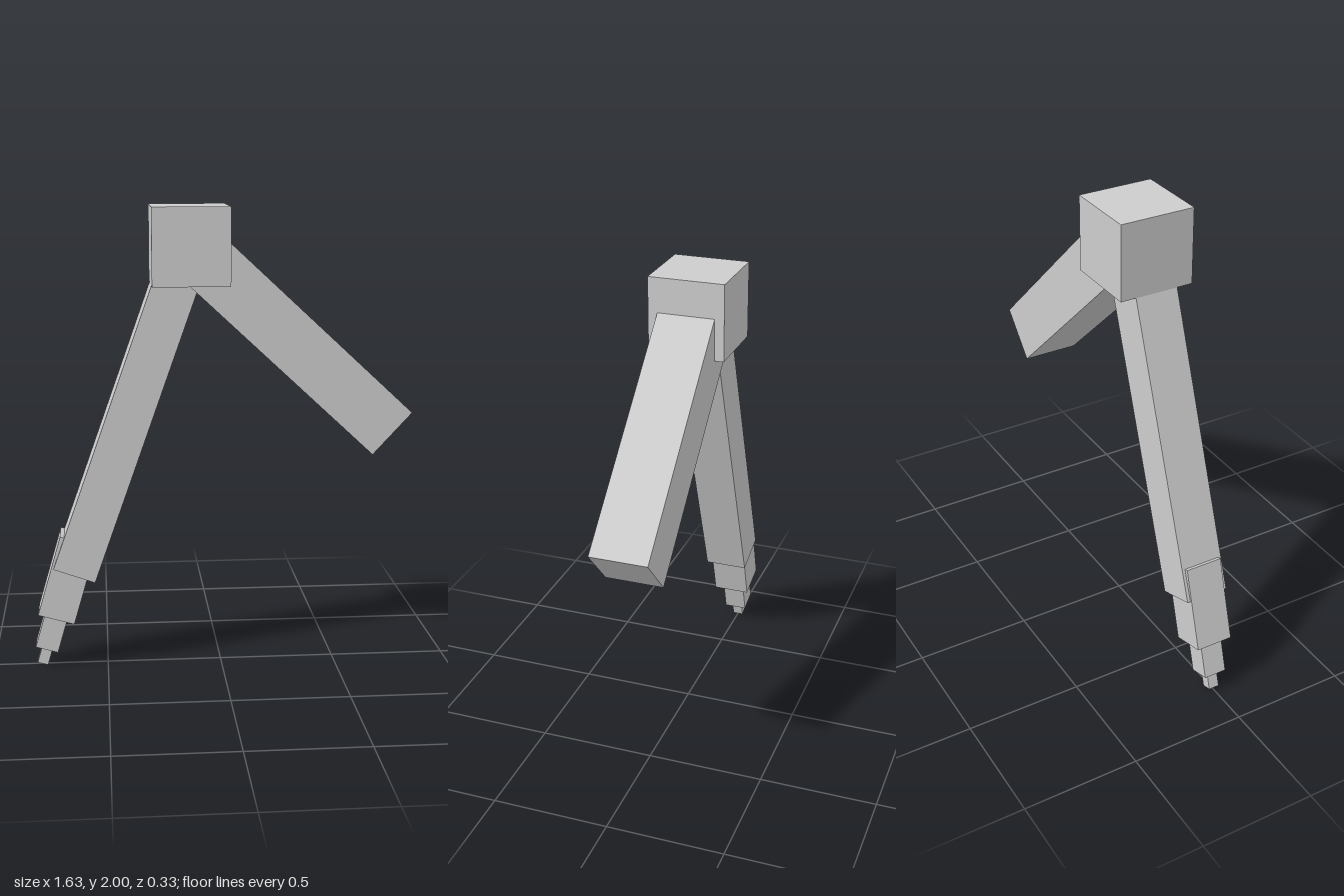
import * as THREE from 'three';

export function createModel() {
  const model = new THREE.Group();
  model.name = 'jointedLimb';
  const grey = new THREE.MeshStandardMaterial({ color: 0xcccccc });
  grey.name = 'grey';

  // Square beam whose far end is centred at (x, y), running back along an angle from vertical
  const beam = (name, x, y, width, length, degrees) => {
    const geometry = new THREE.BoxGeometry(width, length, width);
    geometry.translate(0, length / 2, 0);
    const mesh = new THREE.Mesh(geometry, grey);
    mesh.name = name;
    mesh.position.set(x, y, 0);
    mesh.rotation.z = THREE.MathUtils.degToRad(degrees);
    model.add(mesh);
  };

  // Top block joining the two limbs
  beam('jointBlock', -0.133, 1.673, 0.327, 0.327, 0);
  // Short thick limb
  beam('upperLimb', 0.728, 1.035, 0.246, 1.17, 47.1);
  // Long limb and its tapering end sections
  beam('lowerLimb', -0.64, 0.426, 0.189, 1.5, -19.6);
  beam('endSection', -0.722, 0.227, 0.162, 0.364, -16.3);
  beam('narrowSection', -0.767, 0.08, 0.1, 0.25, -16.3);
  beam('tip', -0.787, 0.007, 0.047, 0.16, -16.3);

  return model;
}
